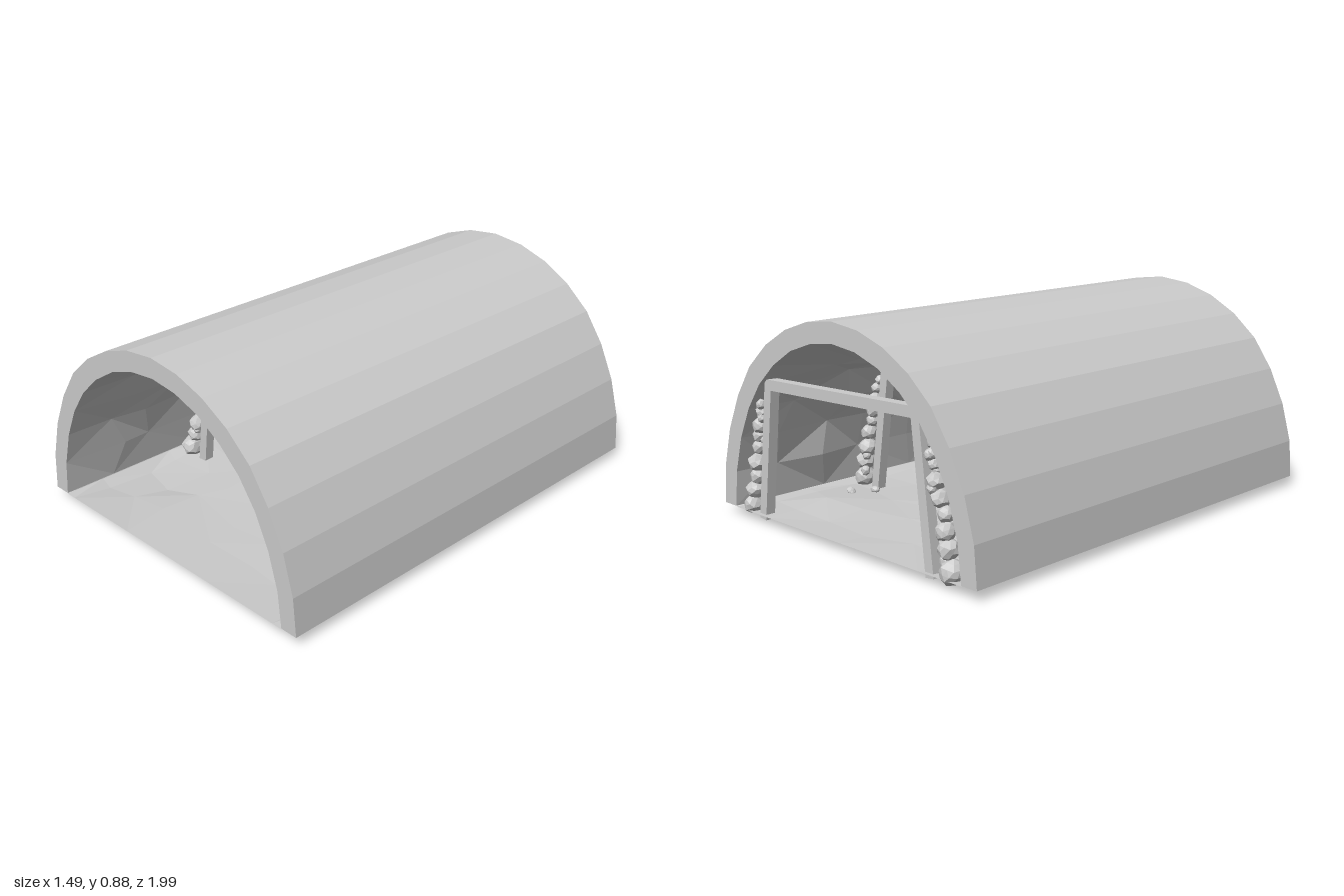
import * as THREE from 'three';

// Seeded random numbers in 0..1
let seed = 11;
const rnd = () => {
  seed = (seed * 16807) % 2147483647;
  return seed / 2147483647;
};
const jit = (a) => (rnd() * 2 - 1) * a;

const mat = new THREE.MeshStandardMaterial({ color: 0xcccccc, flatShading: true, side: THREE.DoubleSide });
const FRONT = 1, BACK = -0.98;

// Half profiles from foot to crown, mirrored into full arches
const mirror = (half) => [...half, ...half.slice(0, -1).reverse().map(([x, y]) => [-x, y])];
const outer = mirror([[0.747, 0.05], [0.735, 0.21], [0.69, 0.375], [0.62, 0.525], [0.53, 0.655],
  [0.415, 0.755], [0.285, 0.828], [0.148, 0.873], [0, 0.89]]);
const inner = mirror([[0.67, 0.05], [0.655, 0.2], [0.612, 0.35], [0.55, 0.48], [0.47, 0.59],
  [0.37, 0.68], [0.255, 0.75], [0.13, 0.792], [0, 0.807]]);

function add(parent, name, geometry) {
  const mesh = new THREE.Mesh(geometry, mat);
  mesh.name = name;
  parent.add(mesh);
  return mesh;
}

// Faceted sheet from a grid of points fn(i, j); the diagonals alternate
function sheet(nu, nv, fn) {
  const pos = [], idx = [];
  for (let j = 0; j <= nv; j++) for (let i = 0; i <= nu; i++) pos.push(...fn(i, j));
  for (let j = 0; j < nv; j++) for (let i = 0; i < nu; i++) {
    const a = j * (nu + 1) + i, b = a + 1, c = a + nu + 1, d = c + 1;
    if ((i + j) % 2) idx.push(a, b, d, a, d, c);
    else idx.push(a, b, c, b, d, c);
  }
  const g = new THREE.BufferGeometry();
  g.setAttribute('position', new THREE.Float32BufferAttribute(pos, 3));
  g.setIndex(idx);
  g.computeVertexNormals();
  return g;
}

// Square timber between two points
function timber(parent, name, a, b, width) {
  const from = new THREE.Vector3(...a), dir = new THREE.Vector3(...b).sub(from);
  const mesh = add(parent, name, new THREE.BoxGeometry(width, dir.length(), width));
  mesh.position.copy(from).addScaledVector(dir, 0.5);
  mesh.quaternion.setFromUnitVectors(new THREE.Vector3(0, 1, 0), dir.normalize());
}

// Chipped boulder: every corner of an icosahedron is scaled by a smooth rule
function rock(parent, name, x, y, z, sx, sy, sz) {
  const g = new THREE.IcosahedronGeometry(1, 1);
  const p = g.attributes.position, v = new THREE.Vector3(), k = rnd() * 9;
  for (let i = 0; i < p.count; i++) {
    v.fromBufferAttribute(p, i);
    const f = 0.92 + 0.1 * Math.sin(4 * v.x + k) * Math.cos(5 * v.y - k + 3 * v.z);
    p.setXYZ(i, v.x * f * sx, v.y * f * sy, v.z * f * sz);
  }
  g.computeVertexNormals();
  const mesh = add(parent, name, g);
  mesh.position.set(x, y, z);
  mesh.rotation.z = jit(0.35);
  return mesh;
}

function buildShell() {
  const shell = new THREE.Group();
  shell.name = 'tunnelShell';
  const z = (j) => (j ? BACK : FRONT);
  add(shell, 'outerVault', sheet(16, 1, (i, j) => [...outer[i], z(j)]));

  // Rough rock lining, clean at both mouths
  const rings = 9;
  add(shell, 'rockLining', sheet(16, rings, (i, j) => {
    const [x, y] = inner[i];
    const end = j === 0 || j === rings;
    const depth = end || i === 0 || i === 16 ? 0 : Math.pow(rnd(), 1.6) * (y > 0.6 ? 0.1 : 0.035);
    const len = Math.hypot(x, y);
    const zj = FRONT + (BACK - FRONT) * j / rings + (end ? 0 : jit(0.07));
    return [x * (1 - depth / len), y - (y * depth) / len * (y > 0.3 ? 1 : 0), zj];
  }));

  // End rims and the footings under the walls
  const rim = new THREE.Shape([...outer, ...inner.slice().reverse()].map(([x, y]) => new THREE.Vector2(x, y)));
  add(shell, 'frontRim', new THREE.ShapeGeometry(rim)).position.z = FRONT;
  add(shell, 'backRim', new THREE.ShapeGeometry(rim)).position.z = BACK;
  for (const s of [-1, 1]) {
    add(shell, 'footing', sheet(1, 1, (i, j) => [s * (i ? 0.67 : 0.747), 0.05, z(j)]));
  }
  return shell;
}

// Uneven ground with a hollow along the right wall and low mounds
function floorHeight(x, z) {
  const hump = (cx, cz, r) => Math.exp(-((x - cx) ** 2 + (z - cz) ** 2) / (r * r));
  return 0.042 - 0.036 * hump(-0.6, 0.64, 0.24) - 0.014 * hump(0.6, 0.6, 0.25)
    - 0.014 * hump(0.6, -0.2, 0.25) - 0.014 * hump(-0.6, -0.7, 0.2)
    + 0.035 * hump(0.45, 0.1, 0.17) + 0.03 * hump(-0.42, -0.35, 0.2) + 0.02 * hump(0.4, -0.65, 0.15);
}

function buildFloor() {
  const xs = [-0.67, -0.62, -0.45, -0.25, 0, 0.25, 0.45, 0.62, 0.67], rows = 11;
  return sheet(8, rows, (i, j) => {
    const end = j === 0 || j === rows, side = i === 0 || i === 8;
    const z = FRONT + (BACK - FRONT) * j / rows + (end || side ? 0 : jit(0.05));
    const x = xs[i] + (end || side || i === 1 || i === 7 ? 0 : jit(0.05));
    return [x, end || side ? 0.047 : Math.max(0.002, floorHeight(x, z) + jit(0.003)), z];
  });
}

// Timber frame: z, foot and top x on each side, beam height on each side
const frames = [
  { z: 0.37, foot: [-0.52, 0.51], top: [-0.445, 0.43], y: [0.605, 0.59] },
  { z: -0.36, foot: [-0.48, 0.5], top: [-0.42, 0.41], y: [0.605, 0.63] },
  { z: -0.94, foot: [-0.49, 0.51], top: [-0.425, 0.44], y: [0.615, 0.59] },
];

function buildFrame({ z, foot, top, y }) {
  const frame = new THREE.Group();
  frame.name = 'supportFrame';
  [-1, 1].forEach((s, k) => {
    timber(frame, s < 0 ? 'rightPost' : 'leftPost', [foot[k], 0.025, z], [top[k], y[k] - 0.01, z], 0.042);

    // Stones packed between post and wall
    const stack = new THREE.Group();
    stack.name = 'stoneStack';
    let h = 0.07;
    while (h < 0.49) {
      const t = (h - 0.07) / 0.45;
      const r = 0.046 - 0.016 * t + jit(0.007);
      rock(stack, 'stone', s * (0.592 - 0.1 * t) + jit(0.012), h, z + jit(0.008), r * 0.95, r, r * 1.1);
      if (rnd() > 0.35) {
        rock(stack, 'smallStone', s * (0.556 - 0.075 * t), h + 0.035, z + jit(0.025), 0.021, 0.024, 0.022);
      }
      h += r * 1.5;
    }
    frame.add(stack);
  });
  timber(frame, 'crossBeam', [top[0] - 0.02, y[0], z], [top[1] + 0.02, y[1], z], 0.043);
  return frame;
}

export function createModel() {
  seed = 11;
  const model = new THREE.Group();
  model.name = 'mineTunnel';
  model.add(buildShell());
  add(model, 'ground', buildFloor());
  frames.forEach((f) => model.add(buildFrame(f)));

  // Loose rocks on the ground
  const loose = new THREE.Group();
  loose.name = 'looseRocks';
  rock(loose, 'fallenRock', -0.34, 0.08, -0.5, 0.075, 0.035, 0.06);
  for (const [x, z] of [[-0.43, -0.81], [0.49, -0.52], [0.45, -0.42], [-0.3, -0.05], [0.5, 0.25]]) {
    rock(loose, 'pebble', x, floorHeight(x, z) + 0.008, z, 0.024, 0.016, 0.02);
  }
  model.add(loose);
  return model;
}
